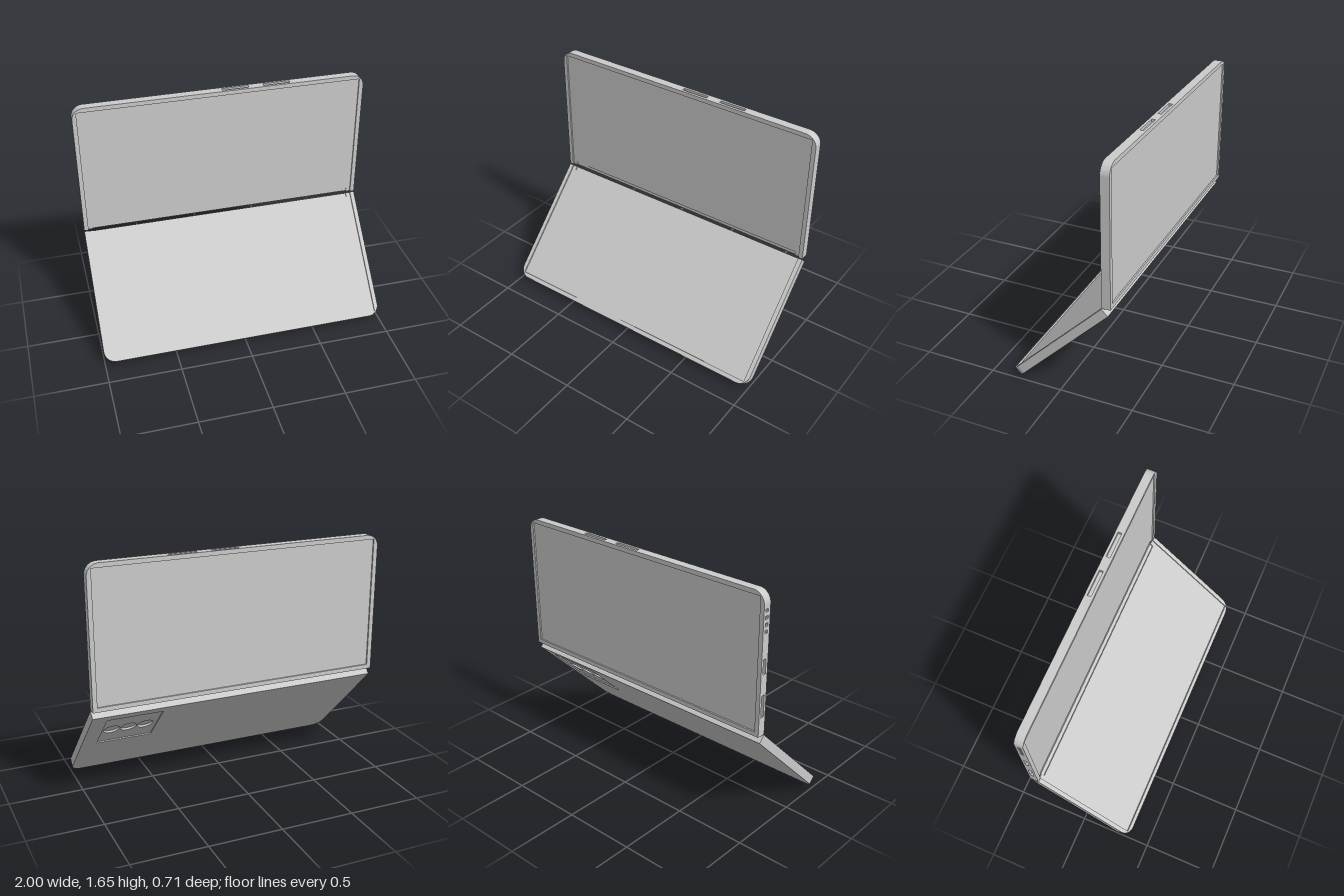
import * as THREE from 'three';
import { toCreasedNormals } from 'three/addons/utils/BufferGeometryUtils.js';

const material = new THREE.MeshStandardMaterial({ color: 0xcccccc });
const RADIUS = 0.08;  // rounded outer corners
const BEZEL = 0.03;   // rim around the screens
const SLOT = 0.02;    // depth of the cuts in the edges

// Plate outline: hinge edge at y = 0, rounded corners at y = length.
// hinge = [half width, depth] of a cut in the hinge edge; top / side = cuts in the other edges.
function outline(length, { hinge, top = [], side = [] } = {}) {
  const s = new THREE.Shape();
  s.moveTo(-1, 0);
  if (hinge) {
    const [w, d] = hinge;
    s.lineTo(-w, 0).lineTo(-w, d).lineTo(w, d).lineTo(w, 0);
  }
  s.lineTo(1, 0).lineTo(1, length - RADIUS);
  s.absarc(1 - RADIUS, length - RADIUS, RADIUS, 0, Math.PI / 2);
  for (const [a, b] of top) {
    s.lineTo(a, length).lineTo(a, length - SLOT).lineTo(b, length - SLOT).lineTo(b, length);
  }
  s.lineTo(RADIUS - 1, length);
  s.absarc(RADIUS - 1, length - RADIUS, RADIUS, Math.PI / 2, Math.PI);
  for (const [a, b] of side) {
    s.lineTo(-1, a).lineTo(SLOT - 1, a).lineTo(SLOT - 1, b).lineTo(-1, b);
  }
  s.lineTo(-1, 0);
  return s;
}

function rectHole(x0, y0, x1, y1) {
  return new THREE.Path().moveTo(x0, y0).lineTo(x0, y1).lineTo(x1, y1).lineTo(x1, y0).lineTo(x0, y0);
}

function circleHole(x, y, r) {
  return new THREE.Path().absarc(x, y, r, 0, Math.PI * 2, true);
}

// One slice of a plate, between two depths behind its inner face
function addLayer(group, name, shape, from, to, holes = []) {
  shape.holes.push(...holes);
  const geometry = new THREE.ExtrudeGeometry(shape, {
    depth: to - from, bevelEnabled: false, curveSegments: 12,
  });
  geometry.translate(0, 0, -to);
  const mesh = new THREE.Mesh(toCreasedNormals(geometry, 0.5), material);
  mesh.name = name;
  group.add(mesh);
}

// Inner face shared by both halves: screen recess, then the hinge groove
function addInnerFace(group, length) {
  addLayer(group, 'screenBezel', outline(length, { hinge: [1 - BEZEL, length - BEZEL] }), 0, 0.01);
  addLayer(group, 'innerScreen', outline(length, { hinge: [0.94, 0.027] }), 0.01, 0.018);
}

export function createModel() {
  const model = new THREE.Group();
  model.name = 'foldingPhone';

  // Upright half with cover screen and edge slots
  const upper = new THREE.Group();
  upper.name = 'upperHalf';
  const upperLength = 0.947;
  addInnerFace(upper, upperLength);
  const speakerHoles = [0, 1, 2, 3].map((i) => [0.84 - i * 0.045, 0.82 - i * 0.045]);
  addLayer(upper, 'slottedFrame', outline(upperLength, {
    top: [[0.475, 0.29], [0.19, 0.005]],
    side: [...speakerHoles, [0.52, 0.42], [0.28, 0.13]],
  }), 0.018, 0.043);
  addLayer(upper, 'coverScreen', outline(upperLength), 0.043, 0.05);
  addLayer(upper, 'coverBezel', outline(upperLength), 0.05, 0.06,
    [rectHole(BEZEL - 1, BEZEL, 1 - BEZEL, upperLength - BEZEL)]);
  upper.position.set(0, 0.703, -0.297);
  model.add(upper);

  // Tilted half with the sunken camera panel on its back
  const lower = new THREE.Group();
  lower.name = 'lowerHalf';
  const lowerLength = 0.925;
  addInnerFace(lower, lowerLength);
  addLayer(lower, 'lowerFrame', outline(lowerLength), 0.018, 0.038);
  addLayer(lower, 'cameraLenses', outline(lowerLength), 0.038, 0.052,
    [-0.825, -0.71, -0.595].map((x) => circleHole(x, 0.258, 0.054)));
  addLayer(lower, 'cameraPanel', outline(lowerLength), 0.052, 0.06,
    [rectHole(-0.895, 0.065, -0.515, 0.45)]);
  lower.rotation.set(-Math.PI / 4, 0, Math.PI);
  lower.position.set(0, 0.697, -0.297);
  model.add(lower);

  return model;
}
